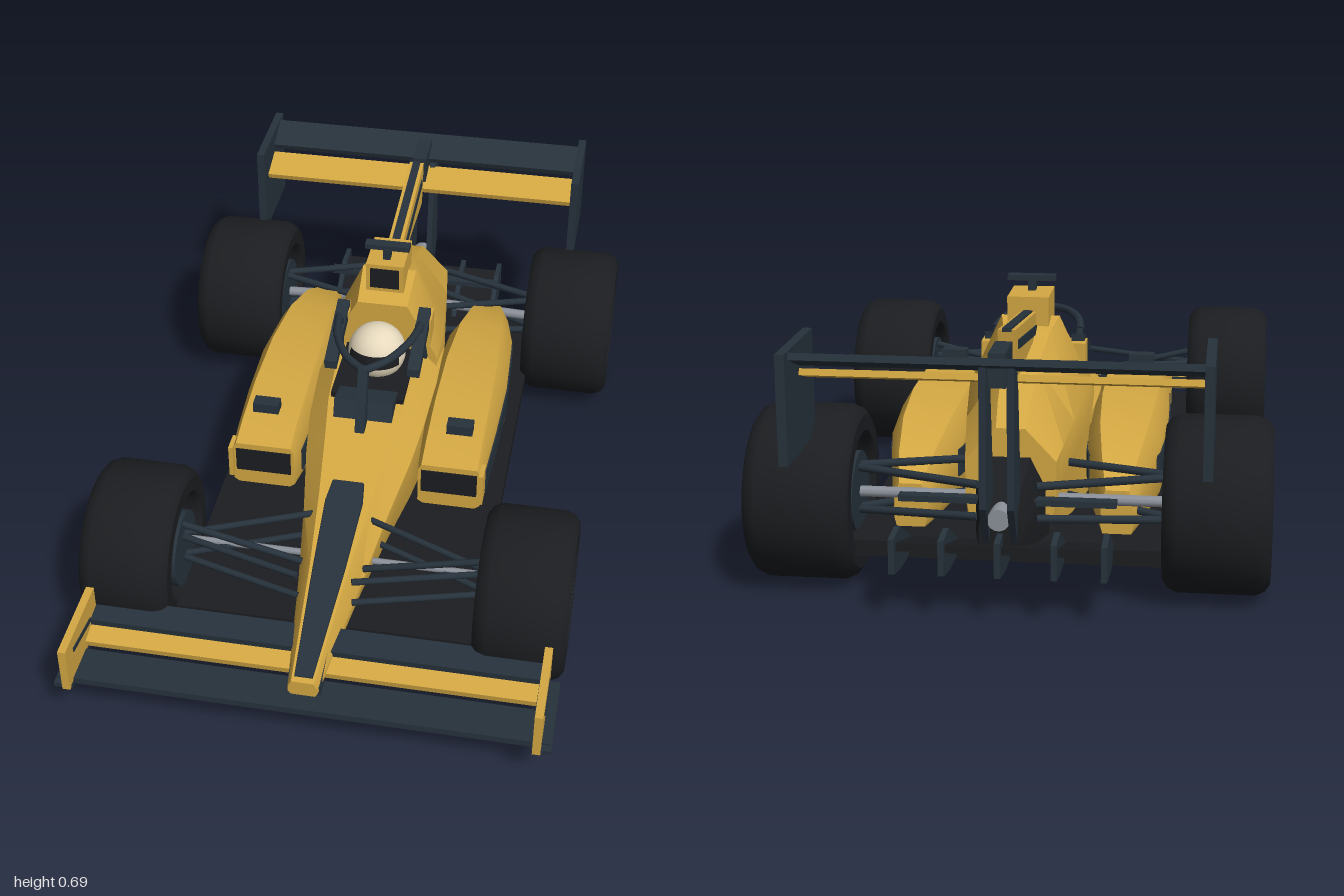
import * as THREE from 'three';
import { toCreasedNormals } from 'three/addons/utils/BufferGeometryUtils.js';

const mat = (color) => new THREE.MeshStandardMaterial({ color });
const V = (x, y, z) => new THREE.Vector3(x, y, z);

export function createModel() {
  const car = new THREE.Group();
  car.name = 'openWheelRaceCar';
  const yellow = mat(0xd4a843), dark = mat(0x27323c), black = mat(0x1b1d20);
  const grey = mat(0x5c606a), steel = mat(0x8b9099), cream = mat(0xe6d9bd);

  function add(name, geo, material, parent = car) {
    const m = new THREE.Mesh(geo, material);
    m.name = name;
    parent.add(m);
    return m;
  }
  // box given by its limits on each axis
  const box = (name, x0, x1, y0, y1, z0, z1, material, parent) => {
    const m = add(name, new THREE.BoxGeometry(x1 - x0, y1 - y0, Math.abs(z1 - z0)), material, parent);
    m.position.set((x0 + x1) / 2, (y0 + y1) / 2, (z0 + z1) / 2);
    return m;
  };
  // flat plate: outline in (z, y), thickness along x
  const plate = (name, outline, x, t, material, parent) => {
    const shape = new THREE.Shape(outline.map(([z, y]) => new THREE.Vector2(z, y)));
    const g = new THREE.ExtrudeGeometry(shape, { depth: t, bevelEnabled: false });
    g.translate(0, 0, -t / 2).rotateY(-Math.PI / 2).translate(x, 0, 0);
    return add(name, g, material, parent);
  };
  const rod = (name, a, b, r, material, parent) => {
    const m = add(name, new THREE.CylinderGeometry(r, r, a.distanceTo(b), 8), material, parent);
    m.position.copy(a).lerp(b, 0.5);
    m.quaternion.setFromUnitVectors(V(0, 1, 0), b.clone().sub(a).normalize());
    return m;
  };
  // loft rows from front to back: z, cx, bottom/mid/top half widths, four heights
  const loft = (name, rows, material, parent, crease = 0.6) => {
    const pos = [], idx = [], n = 8, last = (rows.length - 1) * n;
    rows.forEach(([z, cx, wb, wm, wt, yb, ym, ys, yt], i) => {
      const half = [[wb, yb], [wm, ym], [wm, ys], [wt, yt]];
      const ring = [...half, ...half.map(([x, y]) => [-x, y]).reverse()];
      ring.forEach(([x, y], j) => {
        pos.push(cx + x, y, z);
        if (i === rows.length - 1) return;
        const a = i * n + j, b = i * n + (j + 1) % n;
        idx.push(a, a + n, b + n, a, b + n, b);
      });
    });
    for (let j = 1; j < n - 1; j++) idx.push(0, j, j + 1, last, last + j + 1, last + j);
    const g = new THREE.BufferGeometry();
    g.setAttribute('position', new THREE.Float32BufferAttribute(pos, 3));
    g.setIndex(idx);
    return add(name, toCreasedNormals(g, crease), material, parent);
  };
  // builds the +x side and its mirrored twin
  const bothSides = (fn) => [1, -1].forEach((s) => fn(s));
  const boxPair = (name, x0, x1, ...rest) => bothSides((s) =>
    box(name, Math.min(s * x0, s * x1), Math.max(s * x0, s * x1), ...rest));

  // floor and keel strakes
  box('floor', -0.385, 0.385, 0.09, 0.13, -0.76, 0.68, black);
  [0.12, 0.25].forEach((x) => boxPair('floorStrake', x - 0.006, x + 0.006, 0.08, 0.1, -0.5, 0.4, black));

  // nose, tub and engine cover
  loft('noseAndTub', [
    [0.93, 0, 0.03, 0.037, 0.028, 0.135, 0.145, 0.16, 0.178],
    [0.6, 0, 0.06, 0.08, 0.05, 0.14, 0.17, 0.2, 0.25],
    [0.38, 0, 0.09, 0.112, 0.07, 0.12, 0.17, 0.25, 0.305],
    [0.2, 0, 0.12, 0.143, 0.09, 0.12, 0.17, 0.29, 0.352],
    [0.08, 0, 0.13, 0.158, 0.105, 0.12, 0.17, 0.32, 0.382],
    [-0.1, 0, 0.14, 0.167, 0.115, 0.12, 0.17, 0.34, 0.392],
    [-0.3, 0, 0.14, 0.16, 0.11, 0.12, 0.17, 0.33, 0.39]], yellow);
  loft('engineCover', [
    [-0.165, 0, 0.16, 0.155, 0.07, 0.13, 0.3, 0.38, 0.54],
    [-0.28, 0, 0.16, 0.16, 0.075, 0.13, 0.3, 0.4, 0.585],
    [-0.36, 0, 0.15, 0.15, 0.06, 0.13, 0.3, 0.4, 0.565],
    [-0.5, 0, 0.13, 0.135, 0.045, 0.13, 0.28, 0.37, 0.505],
    [-0.62, 0, 0.115, 0.12, 0.04, 0.15, 0.25, 0.34, 0.445],
    [-0.69, 0, 0.1, 0.11, 0.035, 0.17, 0.23, 0.32, 0.4]], yellow);
  loft('noseStripe', [
    [0.915, 0, 0.024, 0.024, 0.022, 0.165, 0.17, 0.178, 0.185],
    [0.6, 0, 0.042, 0.042, 0.04, 0.235, 0.24, 0.25, 0.256],
    [0.4, 0, 0.05, 0.05, 0.048, 0.28, 0.285, 0.3, 0.306],
    [0.34, 0, 0.043, 0.043, 0.04, 0.3, 0.305, 0.315, 0.322]], dark);

  // air intake, shark fin and roof camera
  box('airIntake', -0.053, 0.053, 0.56, 0.645, -0.34, -0.2, yellow);
  box('airIntakeOpening', -0.04, 0.04, 0.572, 0.633, -0.21, -0.197, black);
  plate('sharkFin', [[-0.3, 0.55], [-0.73, 0.53], [-0.75, 0.655], [-0.33, 0.605]], 0, 0.042, yellow);
  plate('finStripe', [[-0.35, 0.552], [-0.71, 0.6], [-0.71, 0.622], [-0.35, 0.575]], 0, 0.048, dark);
  plate('finSpine', [[-0.3, 0.6], [-0.75, 0.65], [-0.75, 0.659], [-0.3, 0.606]], 0, 0.022, dark);
  box('cameraStem', -0.01, 0.01, 0.64, 0.675, -0.26, -0.23, dark);
  box('cameraBar', -0.062, 0.062, 0.672, 0.686, -0.265, -0.235, dark);

  // cockpit, driver and head protection
  box('cockpitOpening', -0.1, 0.1, 0.36, 0.398, -0.165, 0.07, black);
  const helmet = add('helmet', new THREE.SphereGeometry(0.08, 28, 18), cream);
  helmet.position.set(0, 0.442, -0.085);
  const visor = add('visor', new THREE.SphereGeometry(0.082, 20, 8, Math.PI * 0.18, Math.PI * 0.64, 1.2, 0.5), black);
  visor.position.copy(helmet.position);
  plate('haloPost', [[0.185, 0.36], [0.14, 0.36], [0.105, 0.53], [0.128, 0.53]], 0, 0.026, dark);
  plate('windscreen', [[0.14, 0.37], [0.05, 0.37], [0.04, 0.4], [0.12, 0.42]], 0, 0.16, dark);
  bothSides((s) => {
    const curve = new THREE.CatmullRomCurve3([V(0, 0.522, 0.12), V(s * 0.055, 0.525, 0.07),
      V(s * 0.1, 0.522, -0.03), V(s * 0.115, 0.512, -0.13)]);
    add('haloArm', new THREE.TubeGeometry(curve, 16, 0.011, 8), dark);
    rod('haloStrut', V(s * 0.11, 0.515, -0.12), V(s * 0.12, 0.38, -0.16), 0.011, dark);
    plate('headrestRail', [[0.0, 0.425], [0.0, 0.45], [-0.2, 0.52], [-0.2, 0.48]], s * 0.115, 0.034, dark);
    box('headrest', s * 0.115 - 0.022, s * 0.115 + 0.022, 0.39, 0.5, -0.23, -0.165, yellow);
    // mirror on a short stalk
    box('mirror', s * 0.265 - 0.035, s * 0.265 + 0.035, 0.362, 0.39, 0.11, 0.148, dark);
    rod('mirrorStalk', V(s * 0.265, 0.37, 0.125), V(s * 0.22, 0.31, 0.11), 0.007, dark);
  });

  // sidepods with intakes and side stripes
  bothSides((s) => {
    const c = s * 0.253;
    loft('sidepod', [
      [0.24, c, 0.07, 0.084, 0.075, 0.19, 0.2, 0.305, 0.322],
      [0.15, c, 0.078, 0.09, 0.075, 0.155, 0.18, 0.31, 0.342],
      [0, c, 0.085, 0.097, 0.075, 0.14, 0.17, 0.315, 0.358],
      [-0.2, c, 0.09, 0.102, 0.072, 0.135, 0.165, 0.31, 0.36],
      [-0.4, c, 0.08, 0.092, 0.062, 0.135, 0.16, 0.29, 0.338],
      [-0.55, c, 0.055, 0.064, 0.045, 0.13, 0.155, 0.255, 0.295],
      [-0.65, c, 0.035, 0.04, 0.028, 0.13, 0.15, 0.21, 0.24]], yellow);
    const band = (z, w) => [z, c, w, w, w, 0.195, 0.2, 0.26, 0.265];
    loft('sidepodStripe', [band(0.17, 0.093), band(0, 0.101), band(-0.2, 0.106), band(-0.4, 0.096), band(-0.44, 0.089)], dark);
    box('sidepodIntake', c - 0.075, c + 0.075, 0.235, 0.305, 0.2, 0.244, black);
    box('intakeShroud', s * 0.34 - 0.006, s * 0.34 + 0.006, 0.22, 0.315, 0.2, 0.255, yellow);
  });

  // front wing
  box('frontMainPlane', -0.61, 0.61, 0.112, 0.13, 0.87, 0.972, dark);
  box('frontFlapLower', -0.57, 0.57, 0.14, 0.158, 0.815, 0.866, yellow).rotation.x = 0.2;
  box('frontFlapUpper', -0.57, 0.57, 0.166, 0.184, 0.742, 0.818, dark).rotation.x = 0.1;
  boxPair('frontFootplate', 0.565, 0.612, 0.112, 0.124, 0.765, 0.99, dark);
  bothSides((s) => {
    plate('frontEndplate', [[1, 0.118], [1, 0.245], [0.77, 0.245], [0.77, 0.118]], s * 0.577, 0.02, yellow);
    plate('endplateStripe', [[0.95, 0.2], [0.95, 0.212], [0.82, 0.19], [0.82, 0.178]], s * 0.577, 0.025, dark);
    plate('frontWingPylon', [[0.92, 0.12], [0.92, 0.16], [0.78, 0.2], [0.78, 0.15]], s * 0.035, 0.014, dark);
  });

  // rear wing and pylons
  box('rearUpperPlane', -0.47, 0.47, 0.605, 0.622, -0.965, -0.865, dark).rotation.x = 0.36;
  box('rearLowerPlane', -0.47, 0.47, 0.55, 0.566, -0.87, -0.775, yellow).rotation.x = 0.3;
  boxPair('rearEndplate', 0.464, 0.486, 0.383, 0.643, -0.995, -0.73, dark);
  bothSides((s) => plate('rearPylon', [[-0.8, 0.18], [-0.86, 0.58], [-0.93, 0.62], [-0.94, 0.28], [-0.88, 0.18]], s * 0.032, 0.016, dark));
  box('wingBracket', -0.02, 0.02, 0.56, 0.64, -0.92, -0.8, dark);

  // gearbox, exhaust, rear light and diffuser
  loft('gearbox', [
    [-0.66, 0, 0.09, 0.09, 0.05, 0.13, 0.16, 0.26, 0.34],
    [-0.88, 0, 0.05, 0.05, 0.035, 0.15, 0.17, 0.22, 0.26]], black);
  const exhaust = add('exhaust', new THREE.CylinderGeometry(0.026, 0.026, 0.1, 20), steel);
  exhaust.position.set(0, 0.245, -0.86);
  exhaust.rotation.x = Math.PI / 2;
  plate('diffuserRoof', [[-0.72, 0.1], [-0.72, 0.13], [-0.92, 0.185], [-0.92, 0.165]], 0, 0.5, black);
  [-0.245, -0.13, 0, 0.13, 0.245].forEach((x) =>
    plate('diffuserFin', [[-0.72, 0.095], [-0.72, 0.13], [-0.86, 0.205], [-0.94, 0.2], [-0.94, 0.115], [-0.86, 0.1]], x, 0.014, dark));
  box('rearCrossBeam', -0.26, 0.26, 0.235, 0.25, -0.77, -0.74, dark);

  // wheels with spoked rims
  function wheel(name, x, z, width, side) {
    const g = new THREE.Group();
    g.name = name;
    const h = width / 2, R = 0.215;
    const profile = [[0.142, -h + 0.012], [0.15, -h], [0.188, -h], [0.205, -h + 0.012], [R, -h + 0.035],
      [R, h - 0.035], [0.205, h - 0.012], [0.188, h], [0.15, h], [0.142, h - 0.012], [0.142, -h + 0.012]];
    const tyre = new THREE.LatheGeometry(profile.map((p) => new THREE.Vector2(...p)), 48).rotateZ(-Math.PI / 2);
    add('tyre', toCreasedNormals(tyre, 0.6), black, g);
    const rim = add('rimRing', new THREE.TorusGeometry(0.136, 0.009, 8, 48).rotateY(Math.PI / 2), grey, g);
    rim.position.x = h - 0.014;
    const disc = add('rimDisc', new THREE.CylinderGeometry(0.143, 0.143, 0.02, 40).rotateZ(Math.PI / 2), dark, g);
    disc.position.x = h - 0.05;
    const drum = add('brakeDrum', new THREE.CylinderGeometry(0.1, 0.1, width * 0.7, 32).rotateZ(Math.PI / 2), dark, g);
    drum.position.x = -0.03;
    const hub = add('hub', new THREE.CylinderGeometry(0.03, 0.034, 0.04, 20).rotateZ(-Math.PI / 2), grey, g);
    hub.position.x = h - 0.027;
    for (let i = 0; i < 10; i++) {
      const spoke = new THREE.BoxGeometry(0.018, 0.115, 0.018).translate(h - 0.026, 0.078, 0);
      add('spoke', spoke.rotateX((i * Math.PI) / 5), grey, g);
    }
    g.position.set(side * x, R, z);
    if (side < 0) g.rotation.y = Math.PI;
    car.add(g);
  }
  bothSides((s) => {
    wheel('frontWheel', 0.5, 0.555, 0.23, s);
    wheel('rearWheel', 0.496, -0.645, 0.255, s);
    // front wishbones, push rod and steering rod
    [[0.2, 0.19], [0.27, 0.26]].forEach(([yIn, yOut]) => [0.42, 0.66].forEach((z) =>
      rod('frontWishbone', V(s * 0.07, yIn, z), V(s * 0.41, yOut, 0.555), 0.009, dark)));
    rod('frontPushRod', V(s * 0.08, 0.22, 0.555), V(s * 0.4, 0.3, 0.555), 0.009, dark);
    rod('steeringRod', V(s * 0.08, 0.2, 0.5), V(s * 0.4, 0.2, 0.5), 0.009, steel);
    // rear wishbones and drive shaft
    [[0.2, 0.17], [0.28, 0.28]].forEach(([yIn, yOut]) => [-0.54, -0.76].forEach((z) =>
      rod('rearWishbone', V(s * 0.07, yIn, z), V(s * 0.41, yOut, -0.645), 0.01, dark)));
    rod('driveShaft', V(s * 0.06, 0.22, -0.66), V(s * 0.4, 0.215, -0.645), 0.014, steel);
  });
  return car;
}
